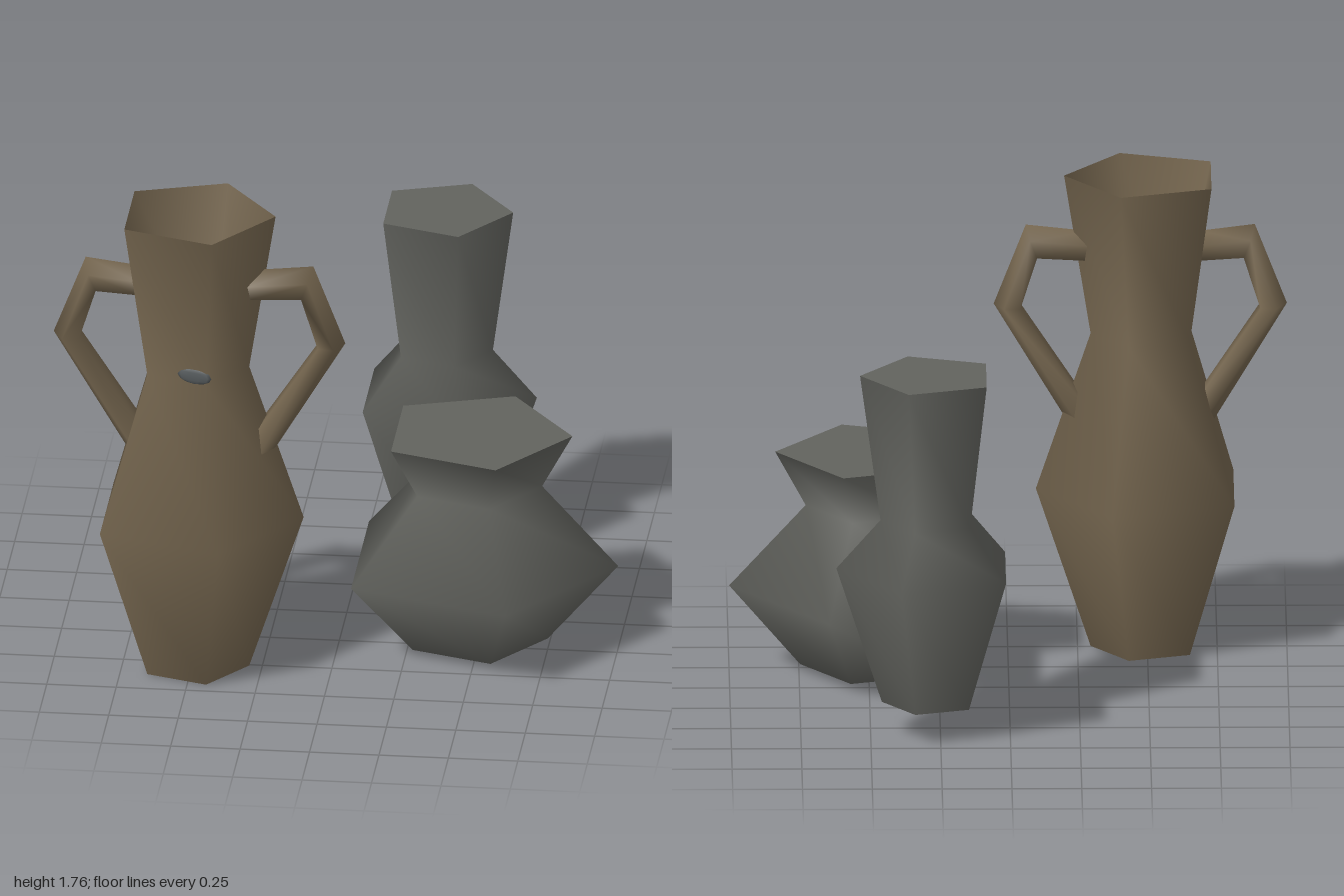
import * as THREE from 'three';

const SIDES = 5;

export function createModel() {
  const model = new THREE.Group();
  model.name = 'potteryVases';

  const mat = (name, color, side = THREE.FrontSide) => {
    const m = new THREE.MeshStandardMaterial({ color, side });
    m.name = name;
    return m;
  };
  const brown = mat('brown clay', 0x75664f);
  const grey = mat('grey clay', 0x62635e);
  const slate = mat('slate liquid', 0x555a5c);

  const add = (parent, name, geometry, material) => {
    const mesh = new THREE.Mesh(geometry, material);
    mesh.name = name;
    parent.add(mesh);
    return mesh;
  };

  // Five-sided turned surface with a corner towards +x
  const turned = (profile) => new THREE.LatheGeometry(
    profile.map(([r, y]) => new THREE.Vector2(r, y)), SIDES, Math.PI / 2);
  const disc = (r, y, up) => new THREE.CircleGeometry(r, SIDES)
    .rotateX(up ? -Math.PI / 2 : Math.PI / 2).translate(0, y, 0);

  function vase(name, x, z, profile, material, closed) {
    const g = new THREE.Group();
    g.name = name;
    g.position.set(x, 0, z);
    add(g, 'body', turned(profile), material);
    add(g, 'base', disc(...profile[0], false), material);
    if (closed) add(g, 'top', disc(...profile[profile.length - 1], true), material);
    model.add(g);
    return g;
  }

  vase('tallGreyVase', 0.288, -0.57,
    [[0.172, 0.12], [0.335, 0.62], [0.177, 0.8], [0.25, 1.34]], grey, true);
  vase('wideGreyVase', 0.486, 0.21,
    [[0.26, 0.025], [0.514, 0.32], [0.24, 0.62], [0.349, 0.82]], grey, true);
  const amphora = vase('brownAmphora', -0.493, 0.507,
    [[0.196, 0], [0.392, 0.59], [0.196, 1.17], [0.291, 1.76]], brown, false);

  // Open mouth of the amphora with liquid deep in the neck
  add(amphora, 'innerWall', turned([[0.291, 1.76], [0.15, 1.2]]), brown);
  add(amphora, 'liquid', disc(0.152, 1.2, true), slate);

  // Thin spot on the front of the neck
  const spot = add(amphora, 'neckSpot', new THREE.SphereGeometry(1, 10, 6), slate);
  spot.scale.set(0.066, 0.03, 0.008);
  spot.position.set(0.018, 1.2, 0.177);
  spot.rotation.y = -Math.PI / 10;

  // Handle lofted between an outer ridge and a flat inner face: [outer x, y, inner x, y]
  function handle(name, side, startX) {
    const rings = [
      [startX, 1.55, startX, 1.45],
      [0.41, 1.575, 0.37, 1.46],
      [0.525, 1.28, 0.43, 1.27],
      [0.225, 0.78, 0.165, 0.87],
    ];
    const section = [[0, 0], [0.38, 0.066], [1, 0.041], [1, -0.041], [0.38, -0.066]];
    const pos = [], index = [];
    for (const [ox, oy, ix, iy] of rings)
      for (const [t, z] of section)
        pos.push(-0.475 + side * (ox + (ix - ox) * t), oy + (iy - oy) * t, 0.515 + z);
    for (let i = 0; i < rings.length - 1; i++)
      for (let j = 0; j < SIDES; j++) {
        const k = (j + 1) % SIDES;
        const a = i * SIDES + j, b = i * SIDES + k, c = b + SIDES, d = a + SIDES;
        if (side < 0) index.push(a, d, b, d, c, b);
        else index.push(a, b, d, d, b, c);
      }
    const geo = new THREE.BufferGeometry();
    geo.setAttribute('position', new THREE.Float32BufferAttribute(pos, 3));
    geo.setIndex(index);
    geo.computeVertexNormals();
    add(model, name, geo, brown);
  }
  handle('rightHandle', -1, 0.21);
  handle('leftHandle', 1, 0.18);

  return model;
}
